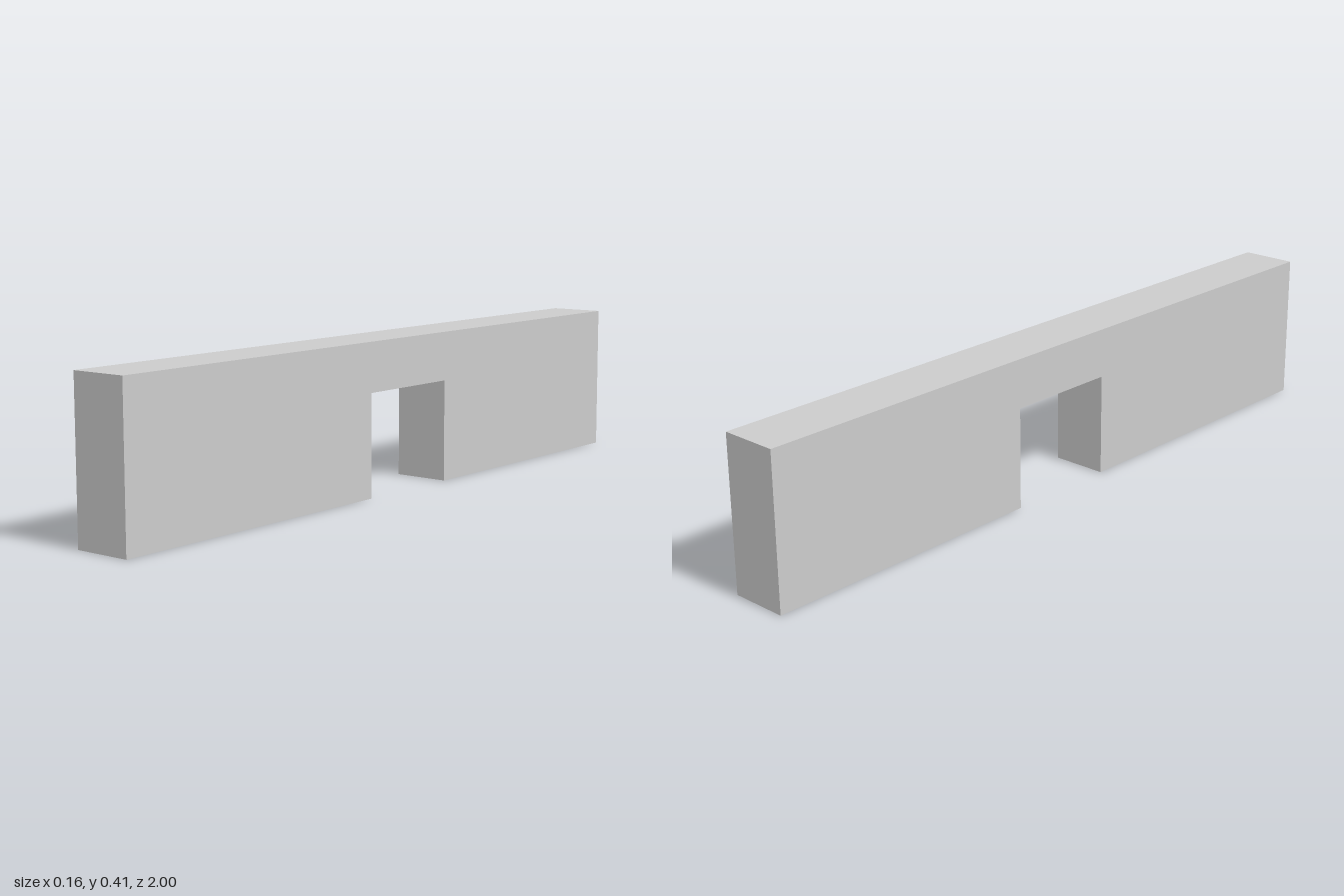
import * as THREE from 'three';

const WIDTH = 0.156, HEIGHT = 0.41;
const DOOR = { back: -0.194, front: 0.127, height: 0.277 };

export function createModel() {
  const group = new THREE.Group();
  group.name = 'wallWithDoorway';

  // Wall outline in (z, y), with the doorway cut up from the ground
  const outline = new THREE.Shape([
    [-1, 0], [DOOR.back, 0], [DOOR.back, DOOR.height],
    [DOOR.front, DOOR.height], [DOOR.front, 0],
    [1, 0], [1, HEIGHT], [-1, HEIGHT],
  ].map(([z, y]) => new THREE.Vector2(z, y)));

  // Extrude across the wall's thickness, then turn its length along z
  const geometry = new THREE.ExtrudeGeometry(outline, { depth: WIDTH, bevelEnabled: false });
  geometry.translate(0, 0, -WIDTH / 2);
  geometry.rotateY(-Math.PI / 2);

  const wall = new THREE.Mesh(geometry, new THREE.MeshStandardMaterial({ color: 0xcccccc }));
  wall.name = 'wall';
  group.add(wall);
  return group;
}
